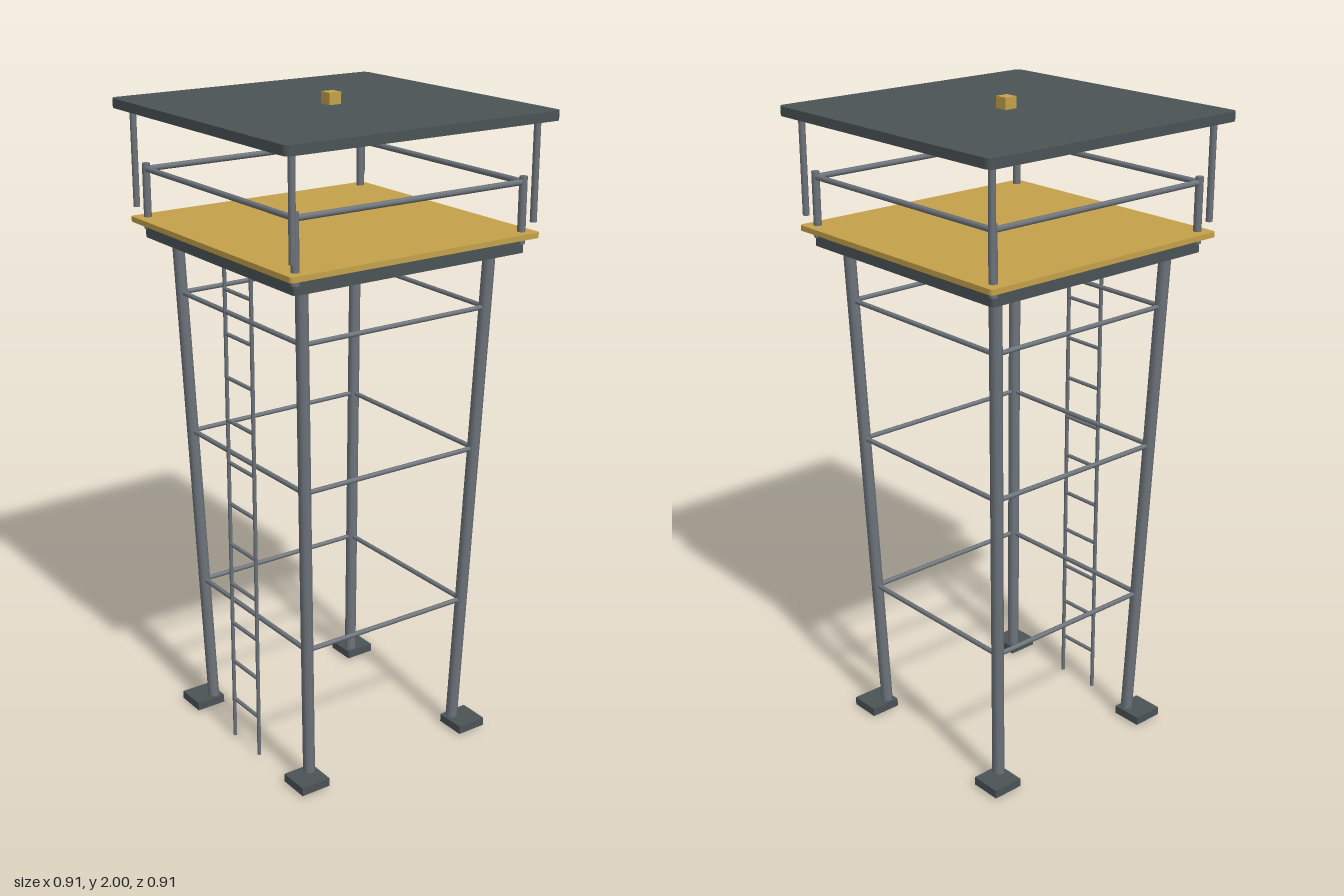
import * as THREE from 'three';

const mat = (name, color) => {
  const m = new THREE.MeshStandardMaterial({ color });
  m.name = name;
  return m;
};

export function createModel() {
  const model = new THREE.Group();
  model.name = 'watchtower';
  const dark = mat('dark metal', 0x4b5356);
  const steel = mat('grey steel', 0x6d747b);
  const yellow = mat('safety yellow', 0xc4a24a);

  const add = (name, geometry, material, x = 0, y = 0, z = 0) => {
    const mesh = new THREE.Mesh(geometry, material);
    mesh.name = name;
    mesh.position.set(x, y, z);
    model.add(mesh);
    return mesh;
  };

  // Round bar between two points
  const up = new THREE.Vector3(0, 1, 0);
  const bar = (name, a, b, r, sides = 8) => {
    const p = new THREE.Vector3(...a), q = new THREE.Vector3(...b);
    const d = q.clone().sub(p);
    const mesh = add(name, new THREE.CylinderGeometry(r, r, d.length(), sides), steel);
    mesh.position.copy(p).add(q).multiplyScalar(0.5);
    mesh.quaternion.setFromUnitVectors(up, d.normalize());
  };

  // Horizontal slab with rounded corners
  const slab = (name, half, y0, y1, r, material) => {
    const s = new THREE.Shape(), k = half - r;
    s.absarc(k, k, r, 0, Math.PI / 2);
    s.absarc(-k, k, r, Math.PI / 2, Math.PI);
    s.absarc(-k, -k, r, Math.PI, Math.PI * 1.5);
    s.absarc(k, -k, r, Math.PI * 1.5, Math.PI * 2);
    s.closePath();
    const g = new THREE.ExtrudeGeometry(s, { depth: y1 - y0, bevelEnabled: false, curveSegments: 4 });
    g.rotateX(-Math.PI / 2);
    add(name, g, material, 0, y0, 0);
  };

  // Four bars forming a square ring
  const ring = (name, half, y, r) => {
    for (const s of [-1, 1]) {
      bar(name, [-half, y, s * half], [half, y, s * half], r);
      bar(name, [s * half, y, -half], [s * half, y, half], r);
    }
  };

  // Leg centre line spreads outward with height
  const legAt = (y) => 0.275 + (0.325 - 0.275) * (y / 1.57);

  // Corner parts
  for (const sx of [-1, 1]) {
    for (const sz of [-1, 1]) {
      const b = legAt(0.02), t = legAt(1.57);
      bar('leg', [sx * b, 0.02, sz * b], [sx * t, 1.57, sz * t], 0.0185);
      add('foot', new THREE.BoxGeometry(0.097, 0.026, 0.097), dark, sx * 0.3, 0.021, sz * 0.3);
      bar('railPost', [sx * 0.387, 1.585, sz * 0.387], [sx * 0.387, 1.78, sz * 0.387], 0.012);
      bar('roofPost', [sx * 0.41, 1.65, sz * 0.41], [sx * 0.41, 1.945, sz * 0.41], 0.01);
    }
  }

  // Cross braces and guard rail
  for (const y of [0.45, 0.955, 1.395]) ring('brace', legAt(y), y, 0.0075);
  ring('guardRail', 0.387, 1.763, 0.009);

  // Platform, deck and roof
  slab('platformBase', 0.395, 1.56, 1.605, 0.01, dark);
  slab('deck', 0.425, 1.605, 1.621, 0.01, yellow);
  slab('roof', 0.457, 1.938, 1.966, 0.02, dark);
  add('beacon', new THREE.BoxGeometry(0.041, 0.036, 0.041), yellow, 0, 1.982, 0);

  // Ladder on the front
  const lz = 0.322;
  for (const s of [-1, 1]) bar('ladderRail', [s * 0.07, 0, lz], [s * 0.07, 1.57, lz], 0.006);
  for (let i = 0; i < 11; i++) {
    const y = 0.132 + i * 0.1331;
    bar('ladderRung', [-0.07, y, lz], [0.07, y, lz], 0.006);
  }

  return model;
}
